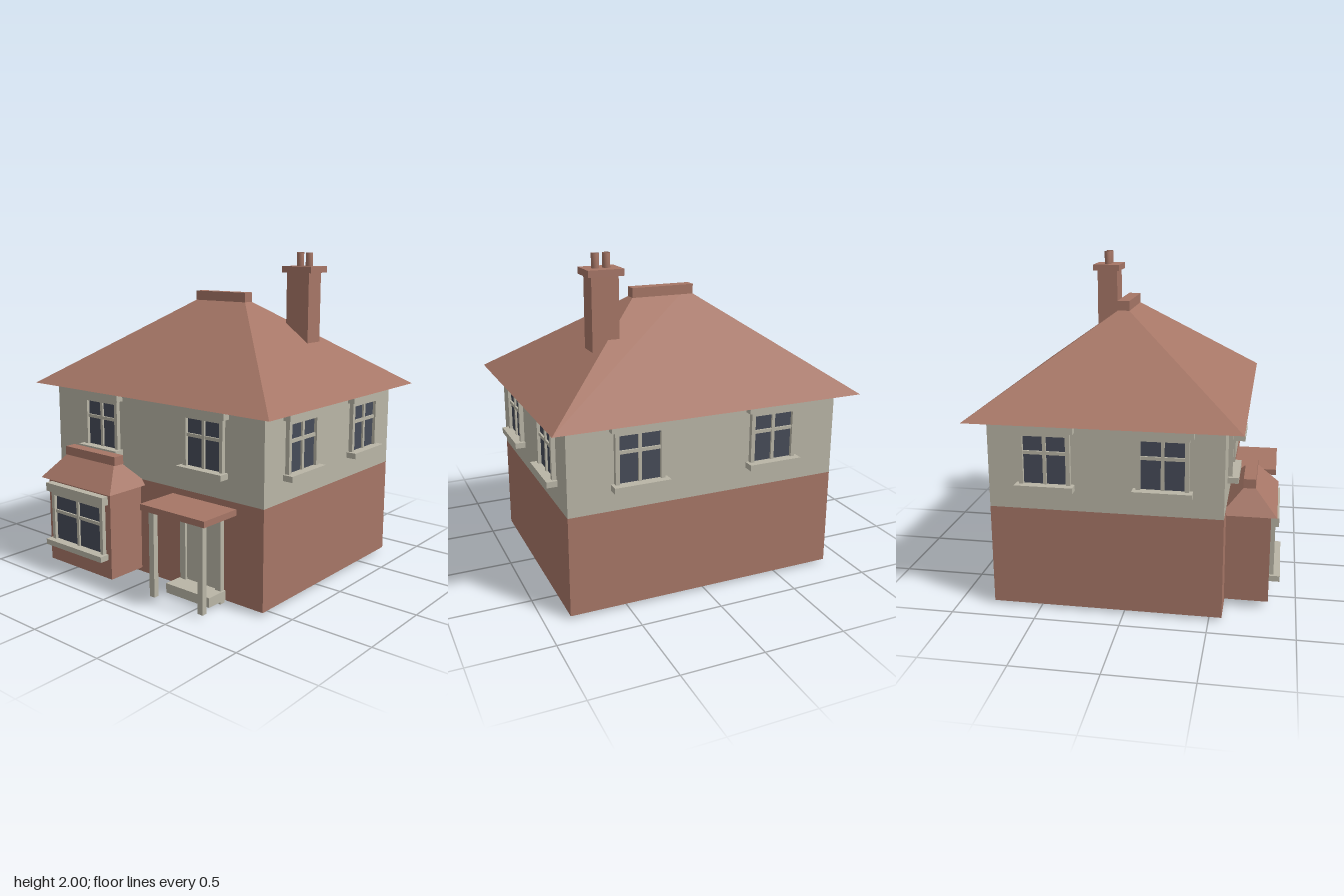
import * as THREE from 'three';

const material = (name, color) => {
  const m = new THREE.MeshStandardMaterial({ color });
  m.name = name;
  return m;
};

export function createModel() {
  const house = new THREE.Group();
  house.name = 'house';
  const brick = material('terracotta brick', 0xa67666);
  const render = material('pale render', 0xb9b5a6);
  const glass = material('dark glass', 0x464b58);

  const add = (parent, name, geometry, mat) => {
    const mesh = new THREE.Mesh(geometry, mat);
    mesh.name = name;
    parent.add(mesh);
    return mesh;
  };

  // Box given by its limits on each axis
  const box = (parent, name, mat, [x0, x1], [y0, y1], [z0, z1]) => {
    const mesh = add(parent, name, new THREE.BoxGeometry(x1 - x0, y1 - y0, z1 - z0), mat);
    mesh.position.set((x0 + x1) / 2, (y0 + y1) / 2, (z0 + z1) / 2);
    return mesh;
  };

  // Hipped roof with a ridge along x and a closed soffit
  const hipRoof = (name, [x0, x1], [y0, y1], [z0, z1], inset) => {
    const zm = (z0 + z1) / 2;
    const a = [x0, y0, z1], b = [x1, y0, z1], c = [x1, y0, z0], d = [x0, y0, z0];
    const r0 = [x0 + inset, y1, zm], r1 = [x1 - inset, y1, zm];
    const corners = [
      a, b, r1, a, r1, r0, // front
      b, c, r1,            // left
      c, d, r0, c, r0, r1, // back
      d, a, r0,            // right
      a, d, c, a, c, b,    // soffit
    ];
    const g = new THREE.BufferGeometry();
    g.setAttribute('position', new THREE.Float32BufferAttribute(corners.flat(), 3));
    g.computeVertexNormals();
    add(house, name, g, brick);
  };

  // Window facing +z with its back on z = 0; w and y0..y1 are the glazed opening
  const makeWindow = (name, w, y0, y1, barY, lintelH) => {
    const win = new THREE.Group();
    win.name = name;
    const h = w / 2, f = 0.025, top = y1 + 0.03;
    box(win, 'glass', glass, [-h, h], [y0, y1], [-0.002, 0.006]);
    for (const s of [-1, 1]) {
      const x = s * (h + f / 2);
      box(win, 'frameSide', render, [x - f / 2, x + f / 2], [y0, top], [-0.01, 0.026]);
    }
    box(win, 'frameTop', render, [-h, h], [y1, top], [-0.01, 0.026]);
    box(win, 'uprightBar', render, [-0.01, 0.01], [y0, y1], [0, 0.018]);
    box(win, 'crossBar', render, [-h, h], [barY - 0.01, barY + 0.01], [0, 0.017]);
    box(win, 'lintel', render, [-h - 0.05, h + 0.05], [top - 0.005, top + lintelH], [-0.01, 0.047]);
    box(win, 'sill', render, [-h - 0.045, h + 0.045], [y0 - 0.035, y0], [-0.01, 0.064]);
    house.add(win);
    return win;
  };

  // Walls: brick ground floor, rendered upper floor
  box(house, 'groundFloorWalls', brick, [-0.855, 0.85], [0.02, 0.625], [-0.785, 0.575]);
  box(house, 'upperFloorWalls', render, [-0.855, 0.85], [0.625, 1.149], [-0.785, 0.575]);

  // Main roof and ridge cap
  hipRoof('mainRoof', [-0.96, 0.955], [1.15, 1.715], [-0.9, 0.68], 0.79);
  box(house, 'ridgeCap', brick, [-0.205, 0.2], [1.69, 1.75], [-0.147, -0.073]);

  // Chimney with two hollow pots
  box(house, 'chimneyStack', brick, [0.385, 0.55], [1.44, 1.875], [-0.4, -0.265]);
  box(house, 'chimneyCap', brick, [0.36, 0.577], [1.875, 1.915], [-0.425, -0.247]);
  const potProfile = [[0.016, 0], [0.023, 0], [0.023, 0.088], [0.016, 0.088], [0.016, 0]]
    .map(([x, y]) => new THREE.Vector2(x, y));
  for (const x of [0.436, 0.503]) {
    add(house, 'chimneyPot', new THREE.LatheGeometry(potProfile, 16), brick)
      .position.set(x, 1.912, -0.337);
  }

  // Upper windows, two on each side of the house
  const upper = (name, x, z, turn) => {
    const win = makeWindow(name, 0.25, 0.785, 1.07, 0.97, 0.048);
    win.position.set(x, 0, z);
    win.rotation.y = turn;
  };
  for (const x of [-0.425, 0.425]) {
    upper('frontWindow', x, 0.575, 0);
    upper('backWindow', x, -0.785, Math.PI);
  }
  for (const z of [-0.447, 0.23]) {
    upper('leftWindow', 0.85, z, Math.PI / 2);
    upper('rightWindow', -0.855, z, -Math.PI / 2);
  }

  // Bay with its own hipped roof and wide window
  box(house, 'bayWalls', brick, [-0.665, -0.1], [0.045, 0.589], [0.56, 0.835]);
  hipRoof('bayRoof', [-0.7, -0.063], [0.59, 0.768], [0.54, 0.87], 0.127);
  box(house, 'bayRidgeCap', brick, [-0.605, -0.155], [0.73, 0.785], [0.668, 0.74]);
  makeWindow('bayWindow', 0.42, 0.2, 0.49, 0.385, 0.048).position.set(-0.38, 0, 0.835);

  // Porch: flat canopy, two slim posts and a step
  box(house, 'porchCanopy', brick, [0.17, 0.657], [0.55, 0.587], [0.57, 0.853]);
  for (const x of [0.223, 0.596]) {
    box(house, 'porchPost', render, [x - 0.019, x + 0.019], [0.02, 0.55], [0.783, 0.817]);
  }
  box(house, 'porchStep', render, [0.245, 0.58], [0.022, 0.08], [0.57, 0.72]);

  // Door with raised panel and surround
  for (const x of [0.275, 0.548]) {
    box(house, 'doorJamb', render, [x - 0.021, x + 0.021], [0, 0.515], [0.57, 0.606]);
  }
  box(house, 'doorHeader', render, [0.296, 0.527], [0.478, 0.515], [0.57, 0.606]);
  box(house, 'door', render, [0.296, 0.527], [0.08, 0.478], [0.57, 0.59]);

  return house;
}
